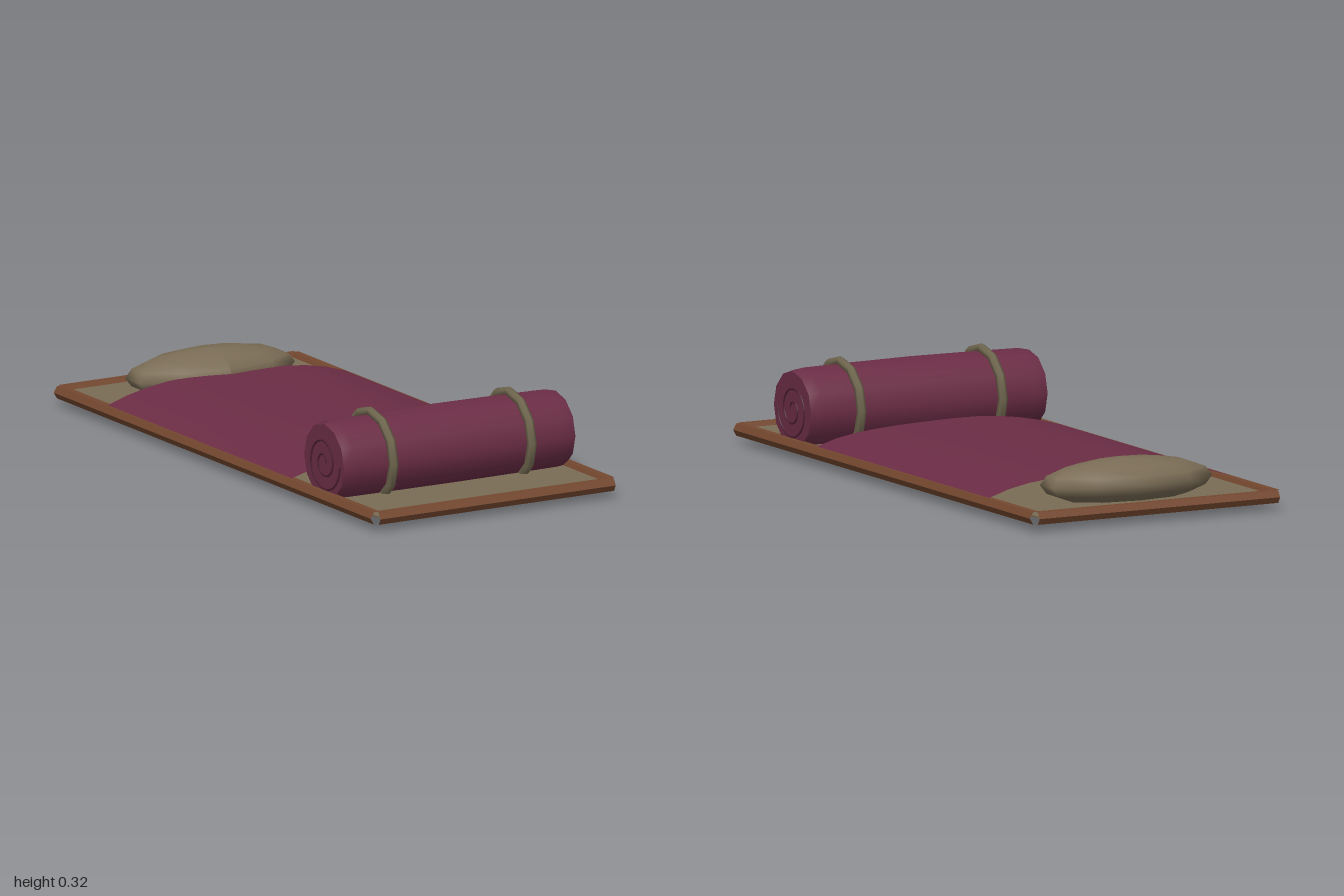
import * as THREE from 'three';

const material = (name, color, side = THREE.FrontSide) => {
  const m = new THREE.MeshStandardMaterial({ color, side });
  m.name = name;
  return m;
};

export function createModel() {
  const group = new THREE.Group();
  const wood = material('wood', 0x74482f);
  const linen = material('linen', 0x7a6c55);
  const strapCloth = material('strap cloth', 0x6f664e);
  const wool = material('wool', 0x6b2d45, THREE.DoubleSide);
  const seam = material('seam', 0x4f1f34);

  const add = (name, geometry, mat, x = 0, y = 0, z = 0) => {
    const mesh = new THREE.Mesh(geometry, mat);
    mesh.name = name;
    mesh.position.set(x, y, z);
    group.add(mesh);
    return mesh;
  };

  // Frame: open six-sided rods with an edge pointing outward
  const rod = (length) => {
    const g = new THREE.CylinderGeometry(0.023, 0.023, length, 6, 1, true).toNonIndexed();
    g.computeVertexNormals();
    return g;
  };
  for (const s of [-1, 1]) {
    const side = rod(1.954).rotateY(Math.PI / 2).rotateX(Math.PI / 2);
    add('sideRail', side, wood, s * 0.437, 0.047, 0);
    const end = rod(0.874).rotateZ(Math.PI / 2);
    add('endRail', end, wood, 0, 0.047, s * 0.977);
  }

  // Thin mat stretched inside the frame
  add('mat', new THREE.BoxGeometry(0.874, 0.008, 1.954), linen, 0, 0.05, 0);

  // Pillow: flattened low-sided ellipsoid
  const pillow = new THREE.SphereGeometry(1, 10, 8).rotateY(Math.PI / 2);
  pillow.scale(0.305, 0.075, 0.137);
  pillow.computeVertexNormals();
  add('pillow', pillow, linen, 0, 0.106, -0.777);

  // Blanket: arched sheet with soft waves, edges resting on the rails
  const blanket = new THREE.PlaneGeometry(0.884, 1.135, 12, 12).rotateX(-Math.PI / 2);
  const p = blanket.attributes.position;
  for (let i = 0; i < p.count; i++) {
    const x = p.getX(i), z = p.getZ(i);
    const arch = 1 - Math.pow(Math.abs(x) / 0.442, 3);
    const wave = 0.003 * Math.sin(x * 9 + z * 5) - 0.004 * z;
    p.setY(i, 0.068 + arch * (0.051 + wave));
  }
  blanket.computeVertexNormals();
  add('blanket', blanket, wool, 0, 0, -0.1075);

  // Bedroll: slightly bulging barrel lying across the mat
  const rollY = 0.16, rollZ = 0.64;
  const profile = [
    [0.123, -0.43], [0.132, -0.39], [0.135, -0.2], [0.137, 0],
    [0.135, 0.2], [0.132, 0.39], [0.123, 0.43],
  ].map(([r, h]) => new THREE.Vector2(r, h));
  const barrel = new THREE.LatheGeometry(profile, 12).rotateZ(-Math.PI / 2);
  add('bedroll', barrel, wool, 0, rollY, rollZ);

  // Spiral seam on each end of the bedroll
  const spiralPoints = [];
  for (let i = 0; i <= 32; i++) {
    const t = i / 32, a = t * Math.PI * 4, r = 0.012 + 0.088 * t;
    spiralPoints.push(new THREE.Vector3(0, r * Math.sin(a), r * Math.cos(a)));
  }
  const spiral = new THREE.CatmullRomCurve3(spiralPoints);
  for (const s of [-1, 1]) {
    const cap = new THREE.CircleGeometry(0.123, 12).rotateY(s * Math.PI / 2);
    add('bedrollEnd', cap, wool, s * 0.43, rollY, rollZ);
    add('spiralSeam', new THREE.TubeGeometry(spiral, 64, 0.004, 5), seam, s * 0.43, rollY, rollZ);
  }

  // Straps around the bedroll
  for (const s of [-1, 1]) {
    const strap = new THREE.TorusGeometry(0.1425, 0.0155, 6, 12).rotateY(Math.PI / 2);
    add('strap', strap, strapCloth, s * 0.257, rollY, rollZ);
  }

  return group;
}
